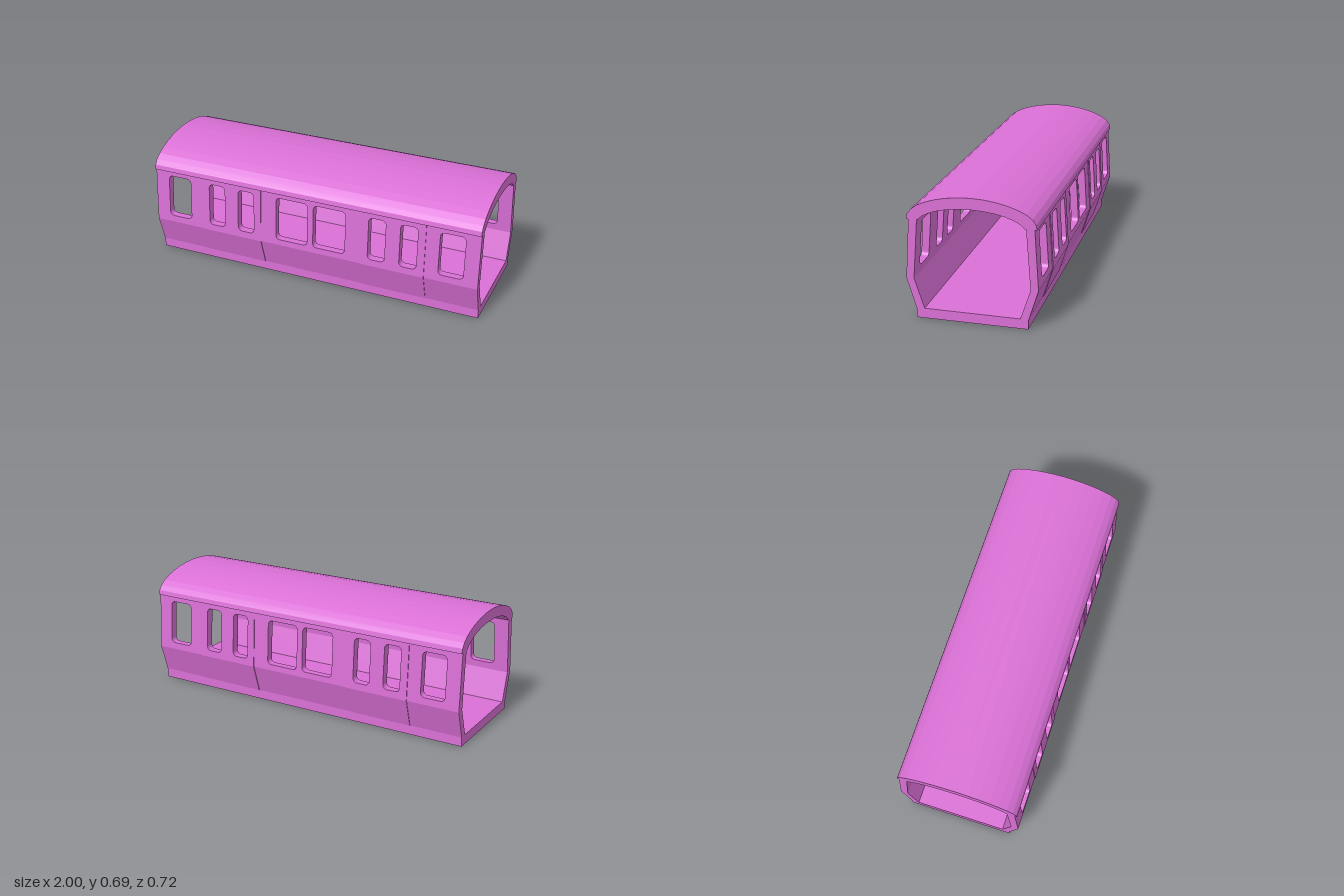
import * as THREE from 'three';

const material = new THREE.MeshStandardMaterial({ color: 0xda70d6, flatShading: true });
const LENGTH = 2, SILL = 0.055, WAIST = 0.22, EAVES = 0.548;

// Rounded window opening
function windowHole([x0, x1, y0, y1], r = 0.025) {
  const p = new THREE.Path();
  p.moveTo(x0 + r, y0);
  p.lineTo(x1 - r, y0);
  p.absarc(x1 - r, y0 + r, r, -Math.PI / 2, 0);
  p.lineTo(x1, y1 - r);
  p.absarc(x1 - r, y1 - r, r, 0, Math.PI / 2);
  p.lineTo(x0 + r, y1);
  p.absarc(x0 + r, y1 - r, r, Math.PI / 2, Math.PI);
  p.lineTo(x0, y0 + r);
  p.absarc(x0 + r, y0 + r, r, Math.PI, Math.PI * 1.5);
  return p;
}

// Slanted slab: inner and outer give z at the bottom and top edges
function panel(name, x0, x1, y0, y1, inner, outer, windows = []) {
  const shape = new THREE.Shape([[x0, y0], [x1, y0], [x1, y1], [x0, y1]].map(([x, y]) => new THREE.Vector2(x, y)));
  shape.holes = windows.map(w => windowHole(w));
  const geo = new THREE.ExtrudeGeometry(shape, { depth: 1, bevelEnabled: false, curveSegments: 5 });
  const pos = geo.attributes.position;
  for (let i = 0; i < pos.count; i++) {
    const t = (pos.getY(i) - y0) / (y1 - y0);
    const zi = THREE.MathUtils.lerp(inner[0], inner[1], t);
    const zo = THREE.MathUtils.lerp(outer[0], outer[1], t);
    pos.setZ(i, THREE.MathUtils.lerp(zi, zo, pos.getZ(i)));
  }
  geo.computeVertexNormals();
  const mesh = new THREE.Mesh(geo, material);
  mesh.name = name;
  return mesh;
}

// Full-height section of a side, bent at the waist; doors stand slightly proud
function section(name, x0, x1, proud, windows) {
  const g = new THREE.Group();
  g.name = name;
  g.add(
    panel(name + 'LowerPanel', x0, x1, SILL, WAIST, [0.26, 0.314], [0.305 + proud, 0.356 + proud]),
    panel(name + 'WindowPanel', x0, x1, WAIST, EAVES, [0.314, 0.29], [0.356 + proud, 0.335 + proud], windows)
  );
  return g;
}

function side(name) {
  const g = new THREE.Group();
  g.name = name;
  const low = 0.26, high = 0.517;
  g.add(section('middleWall', -0.31, 0.31, 0, [[-0.215, -0.018, 0.255, high], [0.018, 0.215, 0.255, high]]));
  for (const s of [-1, 1]) {
    const span = (a, b) => (s > 0 ? [a, b] : [-b, -a]);
    g.add(section('doors', ...span(0.31, 0.69), 0.004,
      [[...span(0.355, 0.457), low, high], [...span(0.543, 0.645), low, high]]));
    g.add(section('endWall', ...span(0.69, 1), 0, [[...span(0.77, 0.915), low, high]]));
  }
  return g;
}

// Arched roof, mirrored from a half profile of [z, y] points
function roof() {
  const outer = [[0.348, 0.548], [0.342, 0.575], [0.323, 0.602], [0.29, 0.626], [0.243, 0.647],
    [0.19, 0.664], [0.13, 0.677], [0.066, 0.685], [0, 0.688]];
  const inner = [[0, 0.626], [0.064, 0.623], [0.125, 0.616], [0.18, 0.604], [0.225, 0.588],
    [0.26, 0.57], [0.277, 0.555], [0.284, 0.548]];
  const flip = pts => pts.slice().reverse().map(([z, y]) => [-z, y]);
  const loop = [...outer, ...flip(outer).slice(1), ...flip(inner), ...inner.slice(1)];
  const shape = new THREE.Shape(loop.map(([z, y]) => new THREE.Vector2(z, y)));
  const geo = new THREE.ExtrudeGeometry(shape, { depth: LENGTH, bevelEnabled: false });
  geo.translate(0, 0, -LENGTH / 2);
  geo.rotateY(Math.PI / 2);
  const mesh = new THREE.Mesh(geo, material);
  mesh.name = 'roof';
  return mesh;
}

export function createModel() {
  const model = new THREE.Group();
  model.name = 'carriageBody';

  const floor = new THREE.Mesh(new THREE.BoxGeometry(LENGTH, SILL, 0.606), material);
  floor.name = 'floor';
  floor.position.y = SILL / 2;

  const back = side('backSide');
  back.rotation.y = Math.PI;

  model.add(floor, side('frontSide'), back, roof());
  return model;
}
